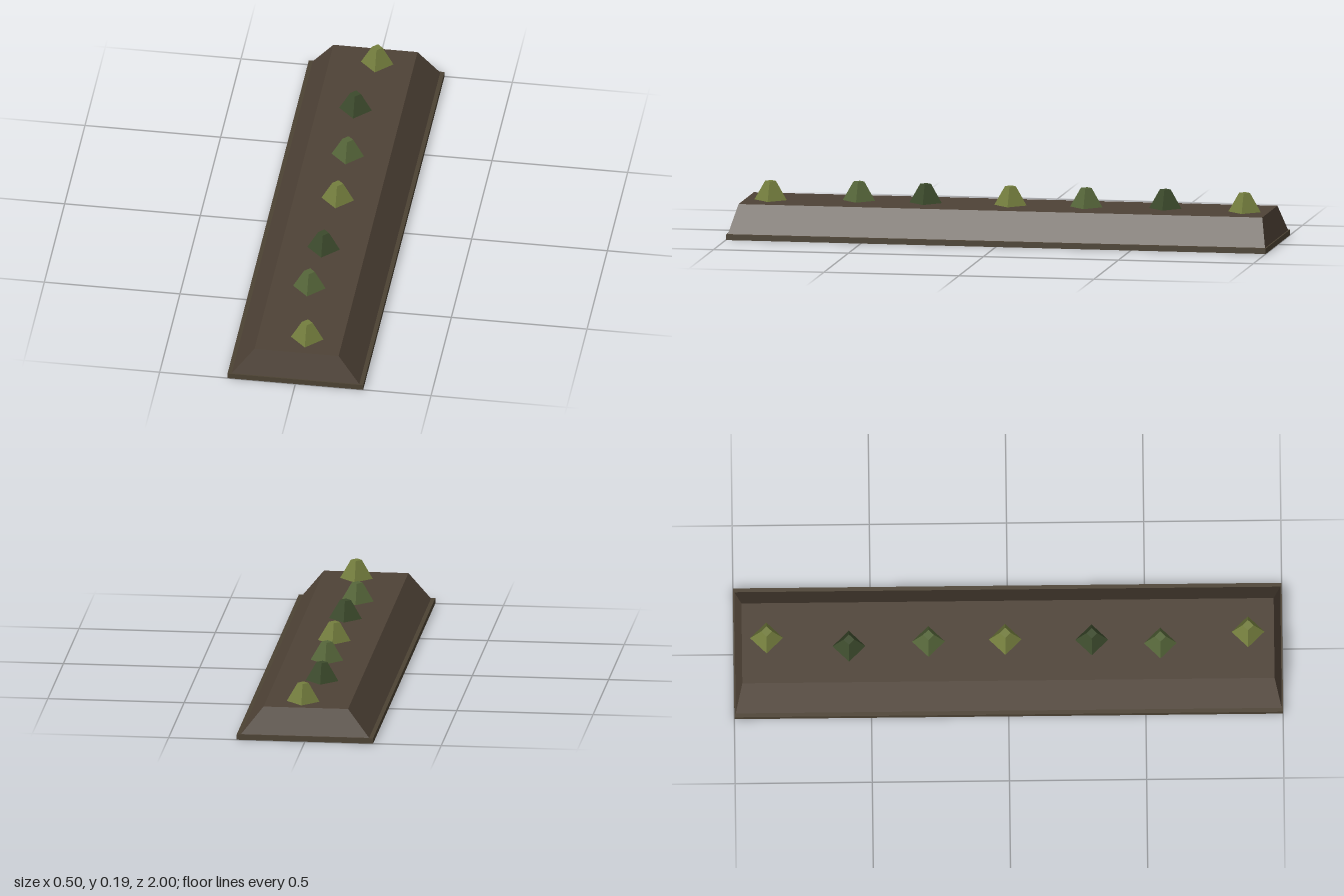
import * as THREE from 'three';

const flat = (name, color) => {
  const m = new THREE.MeshStandardMaterial({ color, flatShading: true });
  m.name = name;
  return m;
};

export function createModel() {
  const group = new THREE.Group();
  group.name = 'plantedBed';

  const rimBrown = flat('rimBrown', 0x4c4233);
  const soilBrown = flat('soilBrown', 0x4e4236);
  const greens = [
    flat('lightGreen', 0x747e3e),
    flat('midGreen', 0x56663a),
    flat('darkGreen', 0x3c4a2c),
  ];

  const add = (name, geometry, material, x, y, z) => {
    const mesh = new THREE.Mesh(geometry, material);
    mesh.name = name;
    mesh.position.set(x, y, z);
    group.add(mesh);
  };

  // Thin rim on the ground
  add('baseRim', new THREE.BoxGeometry(0.5, 0.02, 2), rimBrown, 0, 0.01, 0);

  // Soil mound: a box whose top is drawn inwards
  const mound = new THREE.BoxGeometry(0.47, 0.1, 1.99);
  const p = mound.attributes.position;
  for (let i = 0; i < p.count; i++) {
    if (p.getY(i) > 0) {
      p.setX(i, Math.sign(p.getX(i)) * 0.155);
      p.setZ(i, Math.sign(p.getZ(i)) * 0.97);
    }
  }
  mound.computeVertexNormals();
  add('soilMound', mound, soilBrown, 0, 0.07, 0);

  // Row of four-sided sprouts, front to back, cycling through the greens
  const sprout = new THREE.CylinderGeometry(0.02, 0.06, 0.07, 4);
  const spots = [
    [0.025, 0.875], [-0.015, 0.555], [0, 0.305], [0.005, -0.01],
    [0, -0.29], [-0.015, -0.58], [0.02, -0.88],
  ];
  spots.forEach(([x, z], i) => {
    // The second and third greens keep their order along the row
    add(`sprout${i + 1}`, sprout, greens[i % 3], x, 0.155, z);
  });

  return group;
}
